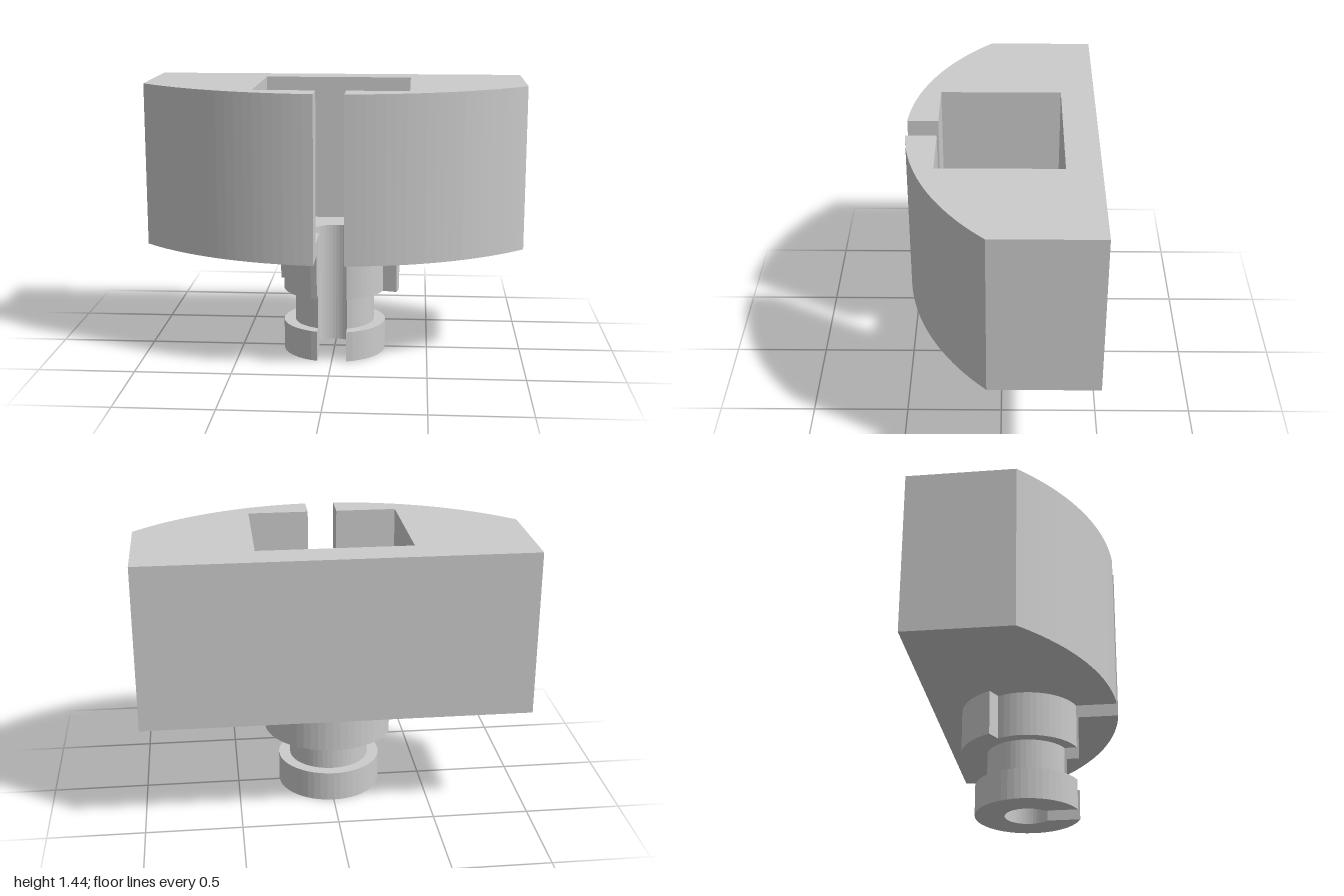
import * as THREE from 'three';

const CZ = 0.008;        // z of the bore axis
const SLOT = 0.077;      // half width of the front slot
const BORE = 0.12;
const DEG = Math.PI / 180;

// Plan points are [x, z]; angles run from +x round the back (-z) to -x.
function arc(radius, from, to, steps, cz = CZ) {
  const pts = [];
  for (let i = 0; i <= steps; i++) {
    const a = from + (to - from) * i / steps;
    pts.push([radius * Math.cos(a), cz - radius * Math.sin(a)]);
  }
  return pts;
}

// Angles where a circle meets the right and left sides of the slot
function slotAngles(radius) {
  const d = Math.asin(SLOT / radius);
  return [-Math.PI / 2 + d, 1.5 * Math.PI - d];
}

// Keyhole edge, running from the left slot wall round the bore to the right one
function bore() {
  const [right, left] = slotAngles(BORE);
  return arc(BORE, left, right, 32);
}

// Extrude a plan outline upward from y0 to y1
function slab(name, points, y0, y1, material) {
  const shape = new THREE.Shape(points.map(([x, z]) => new THREE.Vector2(x, -z)));
  const geometry = new THREE.ExtrudeGeometry(shape, { depth: y1 - y0, bevelEnabled: false });
  geometry.rotateX(-Math.PI / 2);
  const mesh = new THREE.Mesh(geometry, material);
  mesh.name = name;
  mesh.position.y = y0;
  return mesh;
}

function slottedRing(radius) {
  const [right, left] = slotAngles(radius);
  return [...arc(radius, right, left, 44), ...bore()];
}

// Collar: a wider lip covers the back, the front keeps the smaller radius
function steppedCollar(radius, lipRadius, lipStart, lipEnd) {
  const [right, left] = slotAngles(radius);
  return [
    ...arc(radius, right, lipStart, 10),
    ...arc(lipRadius, lipStart, lipEnd, 26),
    ...arc(radius, lipEnd, left, 14),
    ...bore(),
  ];
}

// Block: flat back and ends, bowed front split by the slot
function blockOutline(inner) {
  const R = 1.405, cz = -0.92;
  const end = Math.acos(1 / R), mid = Math.PI / 2 - Math.asin(SLOT / R);
  return [
    ...arc(R, -mid, -end, 20, cz),
    [1, -0.483], [-1, -0.483],
    ...arc(R, Math.PI + end, Math.PI + mid, 20, cz),
    ...inner,
  ];
}

export function createModel() {
  const group = new THREE.Group();
  group.name = 'slottedHolder';
  const material = new THREE.MeshStandardMaterial({ color: 0xcccccc });

  // Rectangular pocket, open to the slot at the front
  const pocket = [
    [-SLOT, 0.325], [-0.395, 0.325], [-0.395, -0.308],
    [0.395, -0.308], [0.395, 0.325], [SLOT, 0.325],
  ];

  group.add(
    slab('footRing', slottedRing(0.273), 0, 0.16, material),
    slab('neck', slottedRing(0.212), 0.16, 0.337, material),
    slab('collar', steppedCollar(0.273, 0.348, -16 * DEG, 152.5 * DEG), 0.337, 0.573, material),
    slab('pocketFloor', blockOutline(bore()), 0.573, 0.65, material),
    slab('pocketWalls', blockOutline(pocket), 0.65, 1.435, material),
  );
  return group;
}
